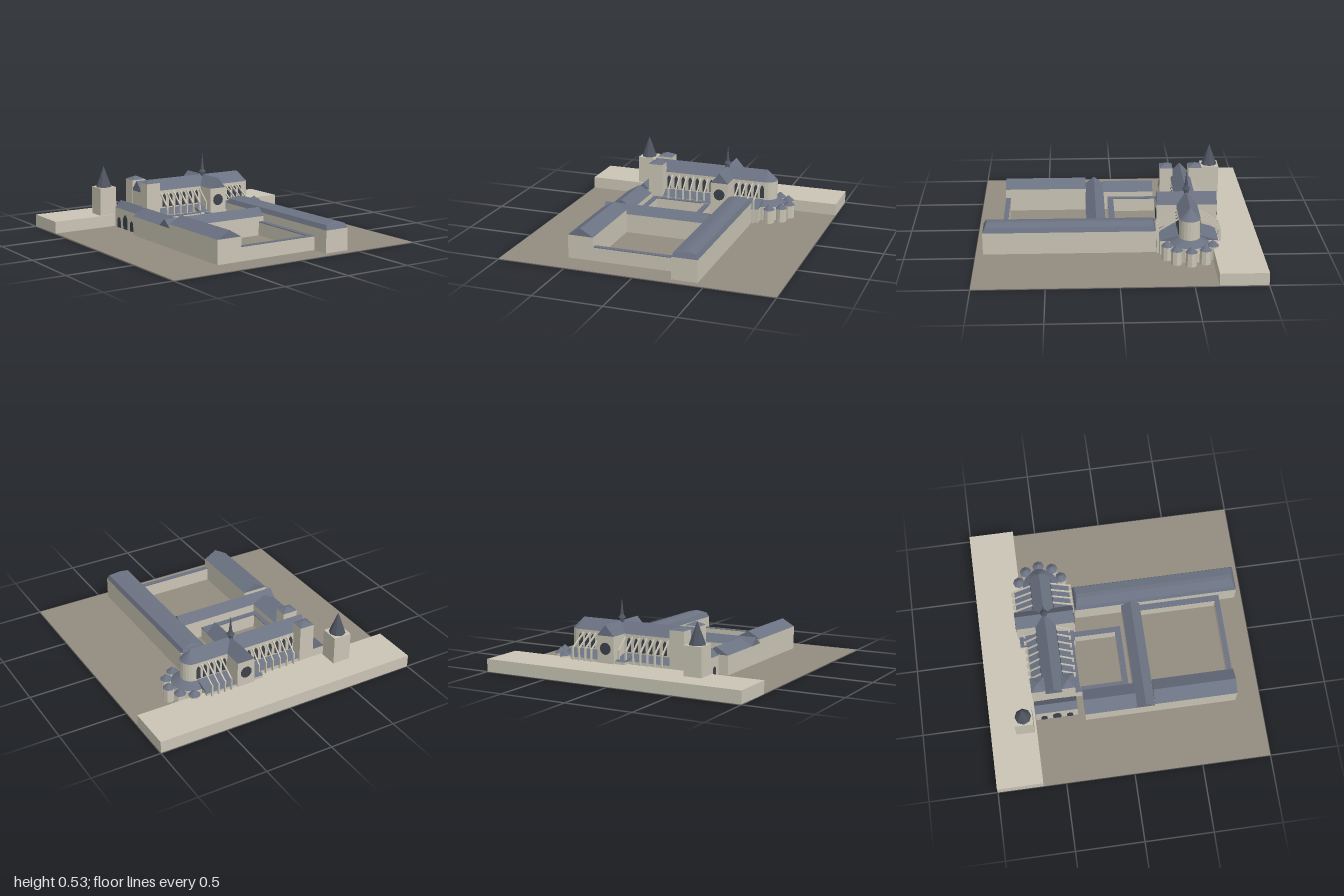
import * as THREE from 'three';

const mat = (name, color) => {
  const m = new THREE.MeshStandardMaterial({ color });
  m.name = name;
  m.flatShading = true;
  return m;
};

export function createModel() {
  const root = new THREE.Group();
  root.name = 'abbey';
  const stone = mat('stone', 0xc9c4b4);
  const slate = mat('slate', 0x6b7282);
  const darkSlate = mat('dark slate', 0x4f5561);
  const glass = mat('window', 0x3c414c);
  const earth = mat('earth', 0x938b80);

  const add = (name, geo, material, x = 0, y = 0, z = 0, parent = root) => {
    const m = new THREE.Mesh(geo, material);
    m.name = name;
    m.position.set(x, y, z);
    parent.add(m);
    return m;
  };

  // Box between ranges; its top can be narrowed to give gables, hips and lean-tos
  const block = (name, material, [x0, x1], [z0, z1], y0, y1, tx = [x0, x1], tz = [z0, z1]) => {
    const g = new THREE.BoxGeometry(1, 1, 1);
    const p = g.attributes.position;
    for (let i = 0; i < p.count; i++) {
      const top = p.getY(i) > 0;
      const xr = top ? tx : [x0, x1], zr = top ? tz : [z0, z1];
      p.setXYZ(i, xr[p.getX(i) > 0 ? 1 : 0], top ? y1 : y0, zr[p.getZ(i) > 0 ? 1 : 0]);
    }
    g.computeVertexNormals();
    return add(name, g, material);
  };
  const mid = (r) => { const c = (r[0] + r[1]) / 2; return [c, c]; };
  // Walled range with a gable roof; ridge runs along the given axis
  const hall = (name, xr, zr, wall, ridge, axis) => {
    block(name + 'Walls', stone, xr, zr, 0, wall);
    block(name + 'Roof', slate, xr, zr, wall, ridge,
      axis === 'z' ? mid(xr) : xr, axis === 'x' ? mid(zr) : zr);
  };
  const drum = (name, material, rTop, rBottom, y0, y1, x, z, sides) =>
    add(name, new THREE.CylinderGeometry(rTop, rBottom, y1 - y0, sides), material, x, (y0 + y1) / 2, z);

  // Ground and raised terrace
  block('ground', earth, [-1, 1], [-1, 1], 0, 0.004);
  block('terrace', stone, [-1, 1], [-1, -0.665], 0, 0.092);

  // Detached bell tower
  block('bellTower', stone, [-0.615, -0.48], [-0.815, -0.68], 0, 0.3);
  drum('bellTowerSpire', darkSlate, 0, 0.06, 0.3, 0.46, -0.548, -0.747, 8);

  // Church: entrance hall, twin towers, nave, transept
  const cz = -0.505;
  hall('entranceHall', [-0.5, -0.4], [-0.66, -0.35], 0.15, 0.2, 'z');
  for (const [z0, z1] of [[-0.665, -0.565], [-0.445, -0.35]]) {
    const xr = [-0.402, -0.29], zr = [z0, z1];
    block('frontTower', stone, xr, zr, 0, 0.36);
    block('frontTowerRoof', slate, xr, zr, 0.36, 0.386, mid(xr), mid(zr));
  }
  hall('nave', [-0.4, 0.505], [cz - 0.075, cz + 0.075], 0.285, 0.363, 'x');
  hall('transept', [0.12, 0.255], [-0.722, -0.29], 0.285, 0.363, 'z');

  // Side aisles with lean-to roofs
  const aisle = (name, x0, x1, s, out) => {
    const zs = [cz + s * 0.07, cz + s * out].sort((a, b) => a - b);
    const inner = cz + s * 0.075;
    block(name, stone, [x0, x1], zs, 0, 0.11);
    block(name + 'Roof', slate, [x0, x1], zs, 0.11, 0.15, [x0, x1], [inner, inner]);
  };

  // Pointed window plate, centred on its base
  const windowShape = (w, h) => {
    const s = new THREE.Shape();
    s.moveTo(-w / 2, 0);
    s.lineTo(w / 2, 0);
    s.lineTo(w / 2, h * 0.65);
    s.quadraticCurveTo(w / 2, h * 0.85, 0, h);
    s.quadraticCurveTo(-w / 2, h * 0.85, -w / 2, h * 0.65);
    return new THREE.ExtrudeGeometry(s, { depth: 0.004, bevelEnabled: false, curveSegments: 3 });
  };
  const lancet = windowShape(0.03, 0.1);

  // Flying buttress: pier and sloping strut
  const buttress = (x, s, out) => {
    block('buttressPier', stone, [x - 0.005, x + 0.005],
      [cz + s * out - 0.008, cz + s * out + 0.008], 0, 0.185);
    const dz = out - 0.073, dy = 0.09;
    const strut = add('flyingStrut', new THREE.BoxGeometry(0.009, 0.012, Math.hypot(dz, dy)),
      stone, x, 0.175 + dy / 2, cz + s * (out + 0.073) / 2);
    strut.rotation.x = s * Math.atan2(dy, dz);
  };

  for (const s of [-1, 1]) {
    aisle('naveAisle', -0.3, 0.12, s, 0.152);
    aisle('choirAisle', 0.04, 0.49, s, 0.205);
    const bays = [];
    for (let i = 0; i < 7; i++) {
      const x = -0.235 + i * 0.0575;
      buttress(x, s, 0.167);
      bays.push(x - 0.029);
    }
    for (let i = 0; i < 4; i++) {
      const x = 0.305 + i * 0.051;
      buttress(x, s, 0.218);
      bays.push(x - 0.025);
    }
    bays.push(0.483);
    for (const x of bays) add('clerestoryWindow', lancet, glass, x, 0.16, cz + s * 0.077 - 0.002);
    // Round transept window
    const rose = add('roseWindow', new THREE.CylinderGeometry(0.043, 0.043, 0.006, 12), glass,
      0.1875, 0.195, s > 0 ? -0.289 : -0.723);
    rose.rotation.x = Math.PI / 2;
  }

  // Rounded east end, ambulatory and ring of chapels
  const ax = 0.505;
  drum('apse', stone, 0.075, 0.075, 0, 0.285, ax, cz, 20);
  drum('apseRoof', slate, 0, 0.075, 0.285, 0.363, ax, cz, 20);
  drum('ambulatory', stone, 0.137, 0.137, 0, 0.11, ax, cz, 20);
  drum('ambulatoryRoof', slate, 0.075, 0.137, 0.11, 0.147, ax, cz, 20);
  for (const deg of [-70, -36, 0, 36, 70]) {
    const a = THREE.MathUtils.degToRad(deg);
    const x = ax + 0.17 * Math.cos(a), z = cz + 0.17 * Math.sin(a);
    drum('chapel', stone, 0.04, 0.04, 0, 0.105, x, z, 8);
    drum('chapelRoof', slate, 0, 0.044, 0.105, 0.145, x, z, 8);
  }

  // Crossing spire
  drum('spireBase', darkSlate, 0.019, 0.019, 0.33, 0.385, 0.185, cz, 8);
  drum('spireCollar', darkSlate, 0.013, 0.029, 0.383, 0.405, 0.185, cz, 8);
  drum('spire', darkSlate, 0, 0.014, 0.4, 0.527, 0.185, cz, 8);

  // Doorways of the entrance hall
  for (const [z, w, h] of [[-0.6, 0.045, 0.08], [cz, 0.06, 0.11], [-0.41, 0.045, 0.08]]) {
    add('doorway', windowShape(w, h), glass, -0.503, 0.004, z).rotation.y = Math.PI / 2;
  }

  // Monastic ranges
  hall('westRangeFront', [-0.55, -0.36], [0.21, 0.818], 0.175, 0.23, 'z');
  hall('westRangeBack', [-0.55, -0.36], [-0.3, 0.08], 0.145, 0.2, 'z');
  hall('middleRange', [-0.55, 0.26], [0.075, 0.213], 0.145, 0.2, 'x');

  // Long east range with a two-slope hipped roof
  const ex = [0.257, 0.445], ez = [-0.275, 0.948];
  const kx = [0.272, 0.43], kz = [-0.262, 0.932];
  block('eastRangeWalls', stone, ex, ez, 0, 0.165);
  block('eastRangeLowerRoof', slate, ex, ez, 0.165, 0.198, kx, kz);
  block('eastRangeUpperRoof', slate, kx, kz, 0.198, 0.213, [0.335, 0.367], [-0.25, 0.92]);

  // Low galleries around the two courtyards
  const galleries = [
    [[-0.36, -0.32], [-0.31, 0.045]],
    [[0.07, 0.11], [-0.31, 0.045]],
    [[-0.36, 0.11], [0.003, 0.045]],
    [[-0.36, 0.04], [-0.355, -0.312]],
    [[0.213, 0.257], [0.21, 0.818]],
    [[-0.36, 0.257], [0.783, 0.818]],
  ];
  for (const [xr, zr] of galleries) {
    block('galleryWalls', stone, xr, zr, 0, 0.102);
    block('galleryRoof', slate, xr, zr, 0.102, 0.107);
  }
  return root;
}
